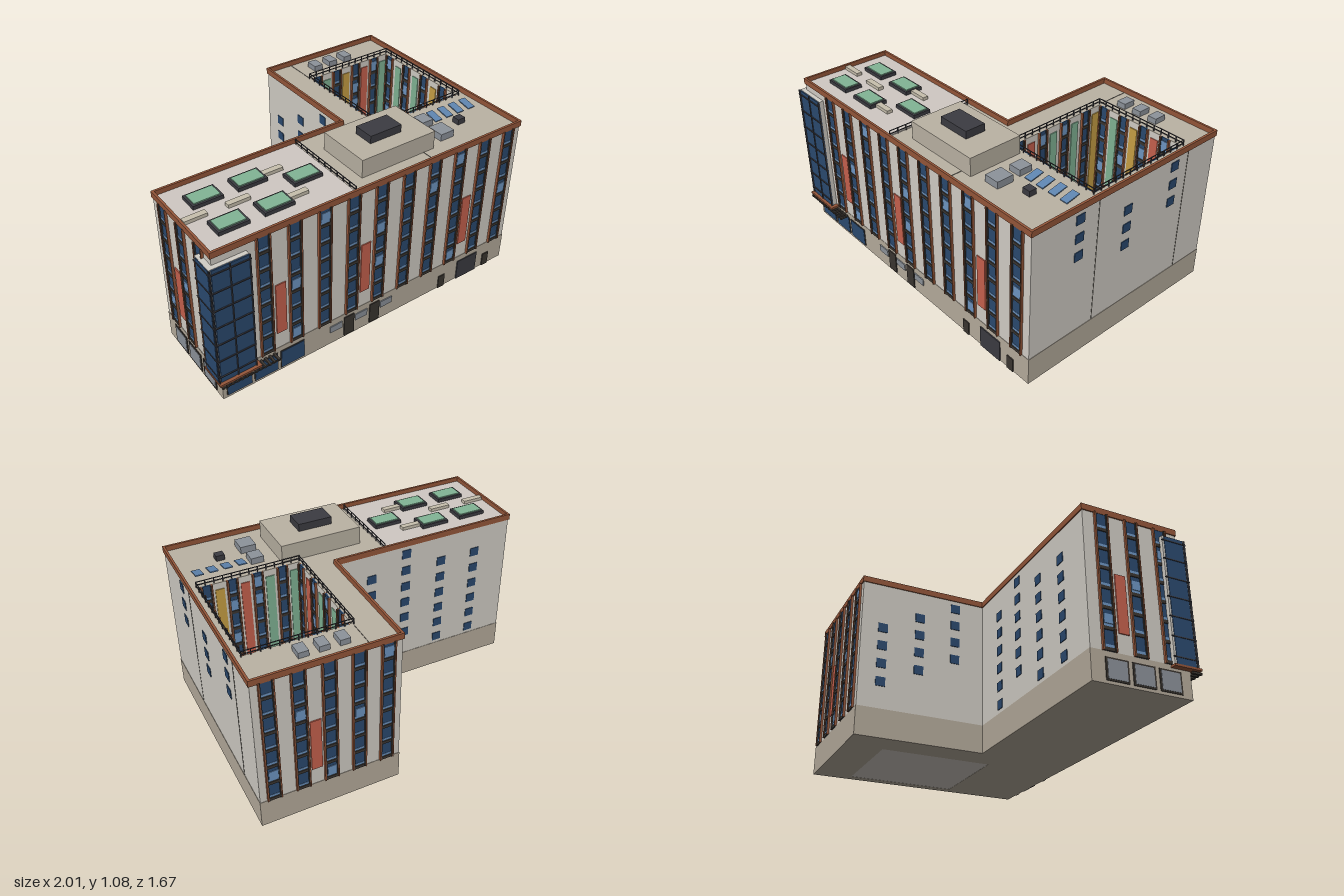
import * as THREE from 'three';

const C = {
  wall: 0xd3cfc7, base: 0xb7ad9d, roof: 0xbbb3a4, deck: 0xd0c9c3, brick: 0x96573a, glass: 0x2b4a70,
  pale: 0x6f97c4, bar: 0x3b3631, dark: 0x3c3c42, red: 0xc8624e, green: 0x82b596, bench: 0xc8c0ae,
  unit: 0x8d939b, solar: 0x5f85b0, ochre: 0xc9a045, seam: 0x6b675f,
};
const mats = {};
const mat = (c) => (mats[c] ??= new THREE.MeshStandardMaterial({ color: C[c] }));

// Main dimensions: L-shaped plan, corner of the front-left at the local origin
const W = 1.926, D = 0.56, WX = 1.137, WD = 1.307;
const BASE = 0.165, TOP = 0.925, FLOOR = 0.109;
const WELL = { x0: 1.305, x1: 1.875, z0: -1.09, z1: -0.445 };

function box(parent, name, color, x, y, z, w, h, d) {
  const m = new THREE.Mesh(new THREE.BoxGeometry(w, h, d), mat(color));
  m.position.set(x, y, z);
  m.name = name;
  parent.add(m);
  return m;
}

// L outline grown by o, in plan (shape y is -z)
const outline = (o) => [[-o, -o], [W + o, -o], [W + o, WD + o], [WX - o, WD + o], [WX - o, D + o], [-o, D + o]]
  .map(([x, y]) => new THREE.Vector2(x, y));
const wellOutline = () => [[WELL.x0, -WELL.z0], [WELL.x1, -WELL.z0], [WELL.x1, -WELL.z1], [WELL.x0, -WELL.z1]]
  .map(([x, y]) => new THREE.Vector2(x, y));

function slab(parent, name, color, y0, y1, grow, hole) {
  const s = new THREE.Shape(outline(grow));
  s.holes.push(new THREE.Path(hole));
  const g = new THREE.ExtrudeGeometry(s, { depth: y1 - y0, bevelEnabled: false });
  g.rotateX(-Math.PI / 2).translate(0, y0, 0);
  const m = new THREE.Mesh(g, mat(color));
  m.name = name;
  parent.add(m);
}

// A wall frame whose local x runs along the wall and z points outwards
function facade(parent, name, x, z, turn) {
  const g = new THREE.Group();
  g.name = name;
  g.position.set(x, 0, z);
  g.rotation.y = turn * Math.PI / 2;
  parent.add(g);
  return g;
}

// Full-height strip of windows with spandrels, floor bars and side fins
function windowColumn(f, x, paleFloors = [], w = 0.066) {
  const g = new THREE.Group();
  g.name = 'windowColumn';
  g.position.x = x;
  f.add(g);
  const mid = (BASE + TOP) / 2, h = TOP - BASE;
  box(g, 'glassStrip', 'glass', 0, mid, 0, w, h, 0.008);
  for (let i = 0; i < 7; i++) {
    const y = BASE + i * FLOOR;
    box(g, 'floorBar', 'bar', 0, y + 0.009, 0.003, w, 0.018, 0.012);
    box(g, 'spandrel', 'pale', 0, y + 0.027, 0.001, w, 0.014, 0.009);
    if (paleFloors.includes(i)) box(g, 'paleWindow', 'pale', 0.004, y + 0.06, 0.003, 0.052, 0.05, 0.009);
  }
  for (const s of [-1, 1]) {
    box(g, 'fin', 'brick', s * (w / 2 + 0.004), mid, 0.004, 0.006, h, 0.02);
    box(g, 'finEdge', 'bar', s * (w / 2 - 0.002), mid, 0.004, 0.006, h, 0.014);
  }
}
const redPanel = (f, x) => box(f, 'redPanel', 'red', x, 0.43, 0, 0.06, 0.32, 0.012);
const smallWindow = (f, x, floor) =>
  box(f, 'smallWindow', 'glass', x, BASE + FLOOR * (floor + 0.45), 0, 0.056, 0.054, 0.008);

// Roof railing between two plan points
function railing(parent, x0, z0, x1, z1) {
  const g = new THREE.Group();
  g.name = 'railing';
  g.position.set((x0 + x1) / 2, TOP, (z0 + z1) / 2);
  g.rotation.y = -Math.atan2(z1 - z0, x1 - x0);
  parent.add(g);
  const len = Math.hypot(x1 - x0, z1 - z0), n = Math.round(len / 0.05);
  for (const y of [0.015, 0.033]) box(g, 'rail', 'dark', 0, y, 0, len, 0.004, 0.004);
  for (let i = 0; i <= n; i++) box(g, 'post', 'dark', -len / 2 + len * i / n, 0.017, 0, 0.005, 0.034, 0.005);
}

function planter(parent, x, y, z, w, d, h) {
  box(parent, 'planterBox', 'dark', x, y + h * 0.4, z, w, h * 0.8, d);
  box(parent, 'planting', 'green', x, y + h / 2, z, w - 0.024, h, d - 0.024);
}

function shell(b) {
  slab(b, 'groundFloorBase', 'base', 0, BASE, 0.002, wellOutline());
  slab(b, 'upperWalls', 'wall', BASE, TOP - 0.004, 0, wellOutline());
  slab(b, 'roof', 'roof', TOP - 0.004, TOP, 0, wellOutline());
  slab(b, 'parapet', 'brick', 0.92, 0.955, 0.006, outline(-0.007));
  box(b, 'roofDeck', 'deck', 0.413, TOP + 0.002, -D / 2, 0.81, 0.006, D - 0.02);
}

function facades(b) {
  const front = facade(b, 'frontFacade', 0, 0, 0);
  const open = { 1: [0, 3], 2: [6], 4: [2, 4], 6: [5], 7: [0, 6], 9: [3] };
  for (let k = 0; k < 10; k++) windowColumn(front, 0.2686 + k * 0.1745, open[k]);
  for (const x of [0.356, 0.879, 1.577]) redPanel(front, x);
  // Street level: [name, colour, x, bottom, width, height]
  for (const [n, c, x, y, w, h] of [
    ['shopWindow', 'glass', 0.094, 0.02, 0.14, 0.11], ['shopWindow', 'glass', 0.254, 0.02, 0.135, 0.11],
    ['shopWindow', 'glass', 0.416, 0.02, 0.14, 0.11], ['entranceDoor', 'bar', 0.78, 0.012, 0.066, 0.13],
    ['entranceDoor', 'bar', 0.953, 0.012, 0.066, 0.13], ['vent', 'unit', 0.695, 0.083, 0.08, 0.042],
    ['vent', 'unit', 0.862, 0.083, 0.08, 0.042], ['vent', 'unit', 1.034, 0.083, 0.08, 0.042],
    ['serviceDoor', 'bar', 1.448, 0, 0.046, 0.085], ['garageDoor', 'dark', 1.642, 0, 0.152, 0.13],
    ['serviceDoor', 'bar', 1.796, 0, 0.046, 0.085]]) {
    if (n === 'shopWindow') box(front, 'shopFrame', 'bar', x, y + h / 2, 0.002, w + 0.008, h + 0.008, 0.008);
    box(front, n, c, x, y + h / 2, 0.003, w, h, 0.01);
  }

  const left = facade(b, 'leftFacade', 0, 0, -1);
  for (const [i, x] of [-0.455, -0.28, -0.105].entries()) windowColumn(left, x, [i * 2 + 1]);
  redPanel(left, -0.3675);
  for (const x of [-0.42, -0.27, -0.12]) {
    box(left, 'shopFrame', 'bar', x, 0.075, 0.002, 0.128, 0.118, 0.008);
    box(left, 'shopWindow', 'unit', x, 0.075, 0.003, 0.108, 0.1, 0.01);
  }

  const right = facade(b, 'rightFacade', W, 0, 1);
  for (const [x, floors] of [[0.309, [6, 5, 4]], [0.649, [5, 4, 3]], [0.988, [6, 5, 4]]])
    floors.forEach((i) => smallWindow(right, x, i));
  for (const x of [0.436, 1.09]) box(right, 'wallSeam', 'seam', x, 0.543, 0, 0.005, 0.755, 0.003);

  const back = facade(b, 'backFacade', W, -WD, 2);
  for (let k = 0; k < 5; k++) windowColumn(back, 0.078 + k * 0.158, [(k * 3 + 1) % 7]);
  redPanel(back, 0.315);

  const innerBack = facade(b, 'innerBackFacade', WX, -D, 2);
  for (const [x, hi] of [[0.224, 5], [0.447, 6], [0.681, 5], [0.912, 5]])
    for (let i = hi; i > hi - 6; i--) smallWindow(innerBack, x, i);
  const innerLeft = facade(b, 'innerLeftFacade', WX, -D, -1);
  for (const [x, hi] of [[-0.62, 4], [-0.4, 5], [-0.18, 6]])
    for (let i = hi; i > hi - 4; i--) smallWindow(innerLeft, x, i);
}

// Glazed corner bay with its frame and the slatted canopy below
function cornerBay(b) {
  const g = new THREE.Group();
  g.name = 'cornerBay';
  b.add(g);
  box(g, 'bayBody', 'wall', 0.077, 0.517, -0.04, 0.21, 0.725, 0.13);
  box(g, 'bayFrontGlass', 'glass', 0.082, 0.517, 0.028, 0.2, 0.72, 0.008);
  box(g, 'baySideGlass', 'glass', -0.028, 0.517, -0.036, 0.006, 0.72, 0.115);
  for (const x of [-0.028, 0.077, 0.182]) box(g, 'mullion', 'dark', x, 0.517, 0.032, 0.006, 0.725, 0.01);
  for (let i = 0; i < 7; i++) {
    const y = 0.2 + i * FLOOR;
    box(g, 'transom', 'dark', 0.077, y, 0.033, 0.22, 0.006, 0.01);
    box(g, 'sideTransom', 'dark', -0.031, y, -0.04, 0.006, 0.006, 0.14);
  }
  box(g, 'canopy', 'brick', 0.085, 0.155, -0.03, 0.24, 0.012, 0.16);
  for (let i = 0; i < 13; i++) box(g, 'canopySlat', 'bar', -0.02 + i * 0.027, 0.138, 0.026, 0.012, 0.012, 0.056);
  box(g, 'canopyEdge', 'bar', 0.142, 0.138, 0.05, 0.34, 0.008, 0.006);
}

function roofFittings(b) {
  box(b, 'penthouse', 'roof', 1.152, 0.977, -0.257, 0.473, 0.106, 0.322);
  box(b, 'plantBox', 'dark', 1.14, 1.053, -0.253, 0.2, 0.044, 0.122);
  for (const [x, z] of [[0.186, -0.395], [0.435, -0.395], [0.68, -0.272], [0.186, -0.155], [0.435, -0.155]])
    planter(b, x, TOP, z, 0.168, 0.108, 0.032);
  for (const [x, z] of [[0.075, -0.28], [0.307, -0.274], [0.57, -0.394], [0.563, -0.156]])
    box(b, 'bench', 'bench', x, TOP + 0.012, z, 0.125, 0.024, 0.034);
  for (const x of [1.405, 1.514, 1.623]) box(b, 'airUnit', 'unit', x, TOP + 0.016, -1.193, 0.056, 0.032, 0.076);
  box(b, 'airUnit', 'unit', 1.507, TOP + 0.018, -0.316, 0.074, 0.036, 0.08);
  box(b, 'airUnit', 'unit', 1.51, TOP + 0.02, -0.174, 0.09, 0.04, 0.1);
  box(b, 'roofHatch', 'dark', 1.678, TOP + 0.016, -0.216, 0.05, 0.032, 0.045);
  for (let i = 0; i < 4; i++) {
    const p = box(b, 'solarPanel', 'solar', 1.594 + i * 0.081, TOP + 0.014, -0.324, 0.046, 0.006, 0.085);
    p.rotation.x = 0.2;
  }
  railing(b, 0.82, -0.02, 0.82, -D + 0.02);
  const { x0, x1, z0, z1 } = WELL, o = 0.008;
  railing(b, x0 - o, z0 - o, x1 + o, z0 - o);
  railing(b, x0 - o, z1 + o, x1 + o, z1 + o);
  railing(b, x0 - o, z0 - o, x0 - o, z1 + o);
  railing(b, x1 + o, z0 - o, x1 + o, z1 + o);
  for (const [x, z, w, d] of [[1.3, -1.2, 0.004, 0.19], [1.32, -0.05, 0.004, 0.09]])
    box(b, 'roofSeam', 'seam', x, TOP, z, w, 0.004, d);
}

// Courtyard: coloured inner walls, paving, planting and seating
function courtyard(b) {
  const { x0, x1, z0, z1 } = WELL, cx = (x0 + x1) / 2, cz = (z0 + z1) / 2;
  box(b, 'courtyardFloor', 'deck', cx, 0.0105, cz, x1 - x0, 0.019, z1 - z0);
  const accents = ['green', 'ochre', 'red', 'green'];
  const walls = [[x0, z0, 0, x1 - x0], [x1, z1, 2, x1 - x0], [x0, z1, 1, z1 - z0], [x1, z0, -1, z1 - z0]];
  walls.forEach(([x, z, turn, len], j) => {
    const f = facade(b, 'courtyardWall', x, z, turn);
    for (let k = 0; k < 4; k++) {
      const p = len * (k + 0.3) / 4;
      windowColumn(f, p, [(k * 2 + j) % 7, (k + j + 3) % 7], 0.05);
      box(f, 'accentPanel', accents[(k + j) % 4], p + len / 8, 0.56, 0, 0.05, 0.65, 0.01);
    }
  });
  for (const x of [1.413, 1.733]) for (const z of [-0.976, -0.543]) planter(b, x, 0.02, z, 0.14, 0.1, 0.035);
  for (const [x, z] of [[1.502, -0.955], [1.668, -0.809], [1.514, -0.661]]) {
    box(b, 'treeTrunk', 'brick', x, 0.06, z, 0.014, 0.09, 0.014);
    const crown = new THREE.Mesh(new THREE.CylinderGeometry(0.056, 0.056, 0.07, 6),
      new THREE.MeshStandardMaterial({ color: C.green, flatShading: true }));
    crown.name = 'treeCrown';
    crown.position.set(x, 0.135, z);
    crown.rotation.y = Math.PI / 6;
    b.add(crown);
  }
  for (let i = 0; i < 5; i++) box(b, 'pergolaBeam', 'bench', 1.56 + i * 0.06, 0.12, -0.78, 0.009, 0.012, 0.25);
  for (const x of [1.56, 1.8]) for (const z of [-0.89, -0.67]) box(b, 'pergolaPost', 'bench', x, 0.065, z, 0.009, 0.1, 0.009);
  box(b, 'courtyardCanopy', 'unit', 1.72, 0.16, -0.465, 0.22, 0.012, 0.04);
}

export function createModel() {
  const model = new THREE.Group();
  model.name = 'apartmentBuilding';
  const b = new THREE.Group();
  b.name = 'building';
  b.position.set(-0.91, 0, 0.773);
  b.rotation.y = 0.1632;
  model.add(b);
  shell(b);
  facades(b);
  cornerBay(b);
  roofFittings(b);
  courtyard(b);
  return model;
}
